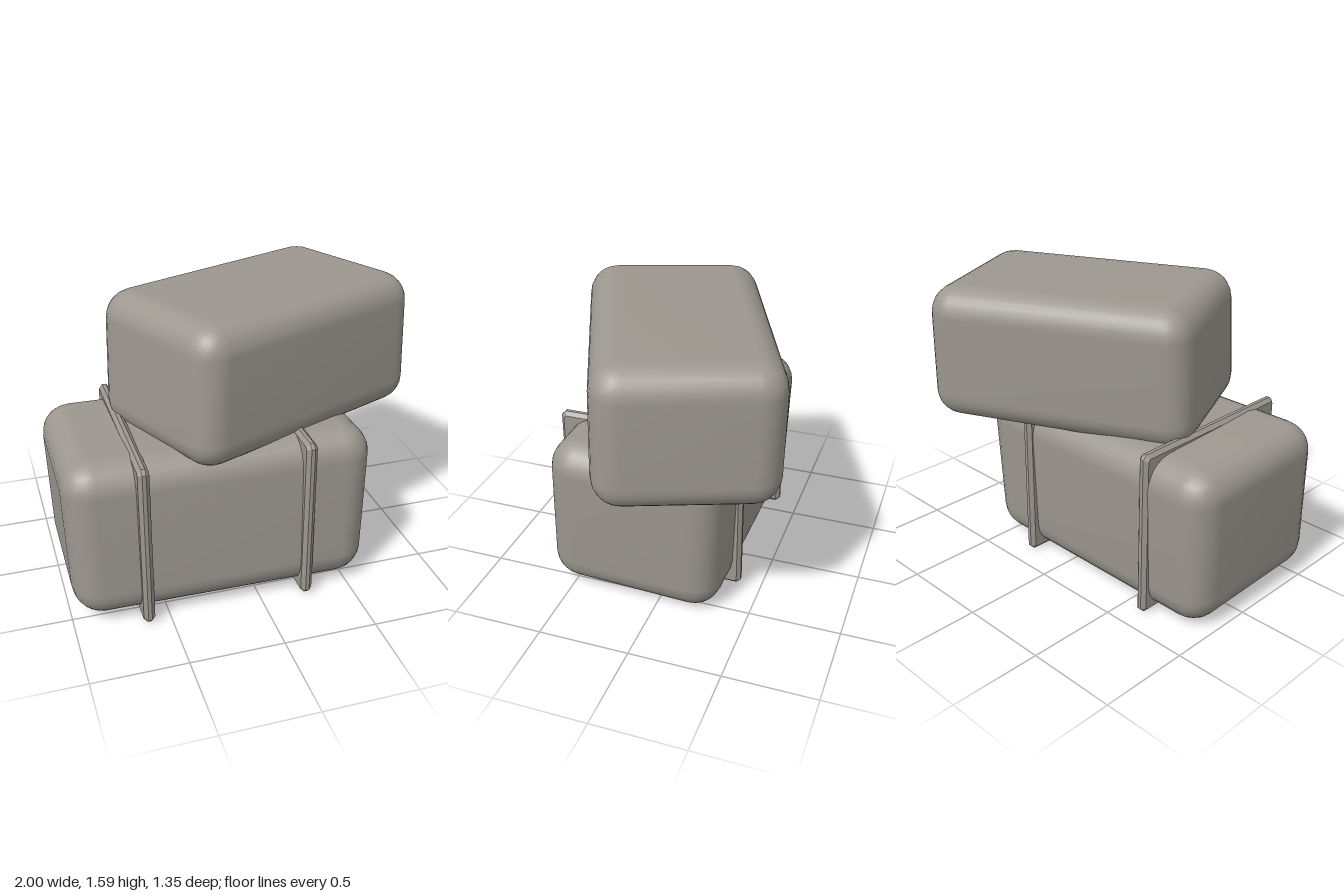
import * as THREE from 'three';
import { mergeVertices } from 'three/addons/utils/BufferGeometryUtils.js';
import { RoundedBoxGeometry } from 'three/addons/geometries/RoundedBoxGeometry.js';

const stone = new THREE.MeshStandardMaterial({ color: 0x9c978f });
stone.name = 'warm grey';

// Soft block with rounded edges; taper widens (+) or narrows (-) it towards the top
function softBlock(name, [w, h, d], radius, taper, position, rotation) {
  let geo = new RoundedBoxGeometry(w, h, d, 3, radius);
  geo.deleteAttribute('normal');
  geo.deleteAttribute('uv');
  geo.clearGroups();
  geo = mergeVertices(geo, 1e-4);
  const p = geo.attributes.position;
  for (let i = 0; i < p.count; i++) {
    p.setX(i, p.getX(i) * (1 + taper * p.getY(i) / h));
  }
  geo.computeVertexNormals();
  const mesh = new THREE.Mesh(geo, stone);
  mesh.name = name;
  mesh.position.set(...position);
  mesh.rotation.set(...rotation);
  return mesh;
}

// Thin slab with bevelled rim and clipped corners, seen as a band around the block
function band(name, x) {
  const bevel = 0.02, a = 0.52 - bevel, b = 0.46 - bevel, c = 0.012;
  const outline = new THREE.Shape([
    [a - c, -b], [a, c - b], [a, b - c], [a - c, b],
    [c - a, b], [-a, b - c], [-a, c - b], [c - a, -b],
  ].map(([u, v]) => new THREE.Vector2(u, v)));
  const geo = new THREE.ExtrudeGeometry(outline, {
    depth: 0.02, bevelEnabled: true, bevelThickness: bevel, bevelSize: bevel, bevelSegments: 1,
  });
  geo.translate(0, 0, -0.01);
  geo.rotateY(Math.PI / 2);
  const mesh = new THREE.Mesh(geo, stone);
  mesh.name = name;
  mesh.position.set(x, 0.46, 0.137);
  return mesh;
}

export function createModel() {
  const model = new THREE.Group();
  model.name = 'stackedBundles';

  // Lower bundle, leaning slightly back
  model.add(softBlock('lowerBundle', [1.62, 0.88, 0.965], 0.16, 0.035,
    [-0.18, 0.454, 0.13], [-0.035, -0.01, -0.004]));

  // Upper bundle, turned across the lower one
  const turned = new THREE.Group();
  turned.name = 'upperBundleGroup';
  turned.position.set(0.177, 1.2, 0);
  turned.rotation.y = THREE.MathUtils.degToRad(23);
  turned.add(softBlock('upperBundle', [1.475, 0.745, 0.93], 0.15, -0.035,
    [0, 0, 0], [-0.025, 0, -0.013]));
  model.add(turned);

  // Two bands around the lower bundle
  model.add(band('rightBand', -0.617), band('leftBand', 0.253));
  return model;
}
